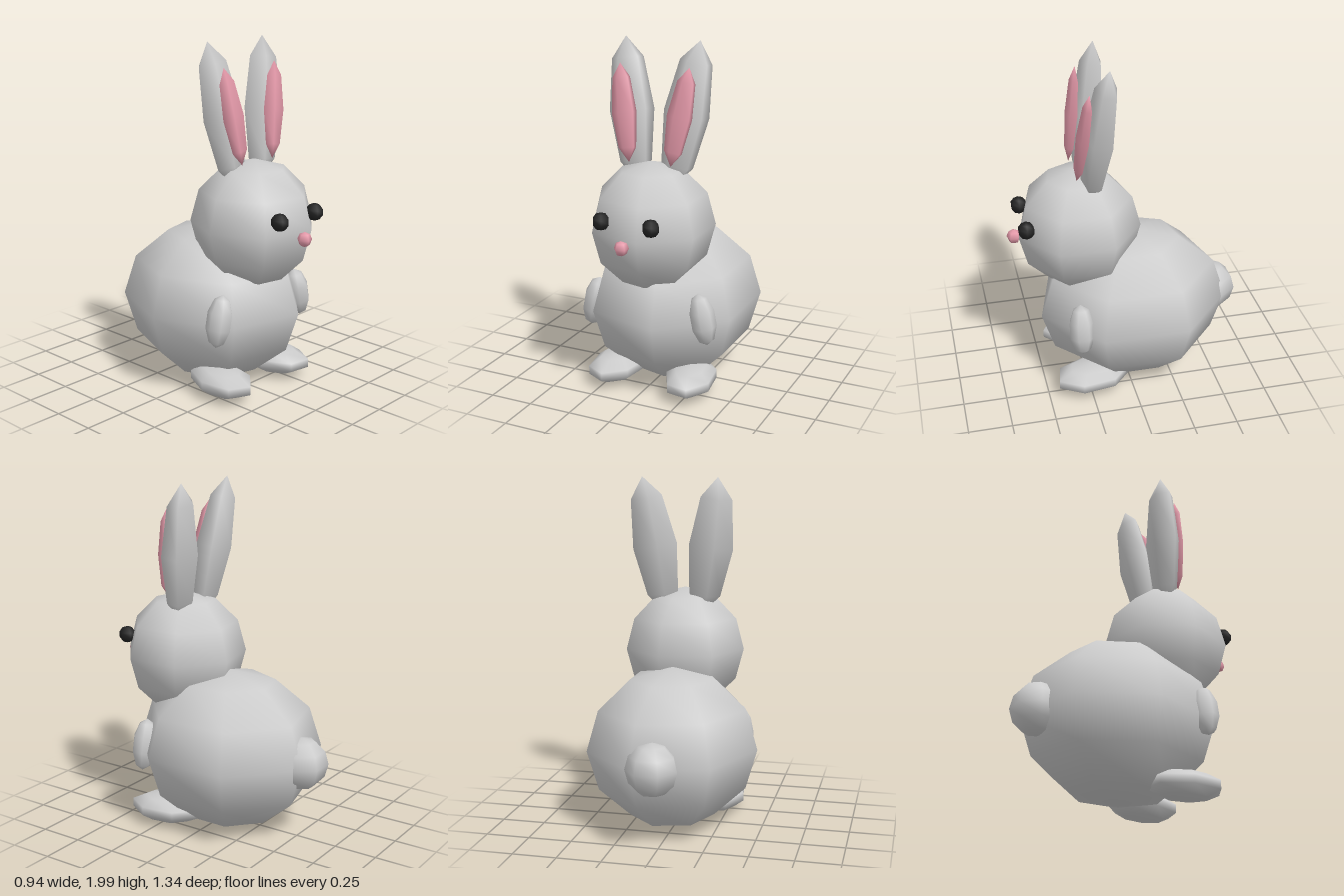
import * as THREE from 'three';

export function createModel() {
  const model = new THREE.Group();
  const fur = new THREE.MeshStandardMaterial({ color: 0xcccccc });
  const pink = new THREE.MeshStandardMaterial({ color: 0xe59aaa });
  const black = new THREE.MeshStandardMaterial({ color: 0x222222 });
  const cx = 0.022; // shared centre line of the odd-sided forms

  // Coarse smooth-shaded ellipsoid
  function blob(name, material, [cols, rows], pos, radii, rot = [0, 0, 0]) {
    const mesh = new THREE.Mesh(new THREE.SphereGeometry(1, cols, rows), material);
    mesh.name = name;
    mesh.position.set(...pos);
    mesh.scale.set(...radii);
    mesh.rotation.set(...rot);
    model.add(mesh);
  }

  // Body, head, tail and nose
  blob('body', fur, [7, 6], [0.024, 0.467, -0.045], [0.494, 0.463, 0.565]);
  blob('head', fur, [7, 6], [cx, 0.99, 0.263], [0.354, 0.36, 0.357]);
  blob('tail', fur, [7, 6], [cx, 0.465, -0.535], [0.15, 0.15, 0.15], [0, Math.PI / 2, 0]);
  blob('nose', pink, [5, 4], [cx, 0.96, 0.628], [0.042, 0.042, 0.042]);

  // Paired parts; the forms are shifted and turned, not reflected
  for (const [side, s] of [['left', 1], ['right', -1]]) {
    const x = (offset) => cx + s * offset;
    blob(side + 'Eye', black, [6, 5], [x(0.147), 1.075, 0.575], [0.05, 0.05, 0.05]);
    blob(side + 'Ear', fur, [5, 4], [x(0.165), 1.6, 0.165], [0.138, 0.403, 0.09], [-0.12, 0, -s * 0.14]);
    blob(side + 'InnerEar', pink, [5, 4], [x(0.165), 1.6, 0.254], [0.078, 0.27, 0.036], [-0.12, 0, -s * 0.15]);
    blob(side + 'Arm', fur, [7, 5], [x(0.333), 0.5, 0.313], [0.075, 0.15, 0.076], [0, 0, s * 0.2]);
    blob(side + 'Foot', fur, [7, 5], [x(0.229), 0.095, 0.235], [0.15, 0.08, 0.232], [0, s * 0.15, 0]);
  }
  return model;
}
